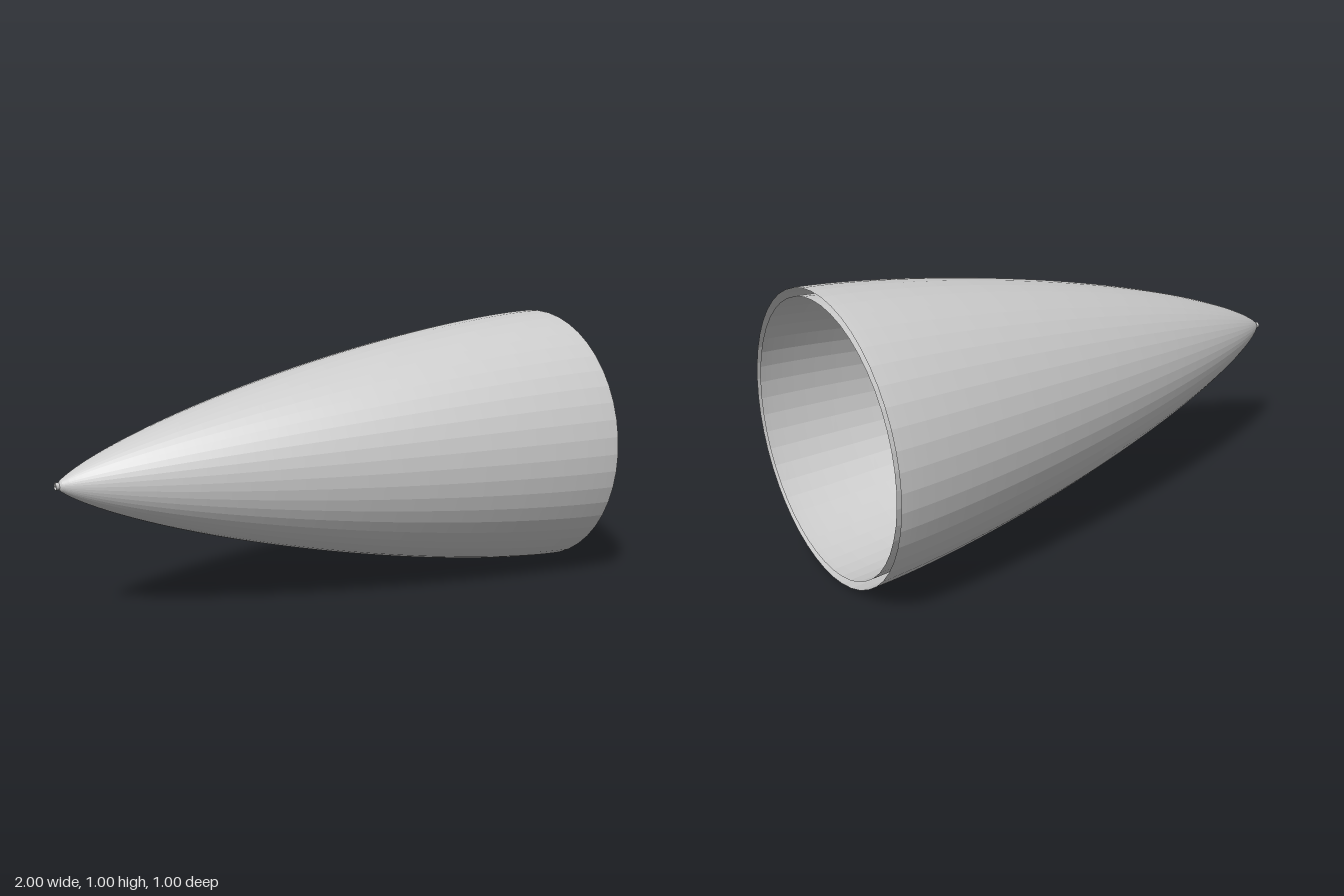
import * as THREE from 'three';

const LENGTH = 2, RADIUS = 0.5, WALL = 0.028, BORE = 0.013;
const STEPS = 100, SIDES = 48;

// Minimum-drag ogive: radius at fraction t from the tip (0) to the base (1)
function ogiveRadius(t) {
  const a = Math.acos(1 - 2 * t);
  return RADIUS * Math.sqrt(Math.max(0, a - Math.sin(2 * a) / 2) / Math.PI);
}

// Revolves a radius rule; t runs from one end of the cone to the other
function shell(name, radiusAt, fromTip) {
  const points = [];
  for (let i = 0; i <= STEPS; i++) {
    const t = fromTip ? i / STEPS : 1 - i / STEPS;
    points.push(new THREE.Vector2(radiusAt(t), LENGTH / 2 - t * LENGTH));
  }
  const geometry = new THREE.LatheGeometry(points, SIDES);
  geometry.rotateZ(Math.PI / 2); // tip towards -x
  geometry.translate(0, RADIUS, 0);
  const mesh = new THREE.Mesh(geometry, new THREE.MeshStandardMaterial({
    color: 0xcccccc, flatShading: true, side: THREE.DoubleSide,
  }));
  mesh.name = name;
  return mesh;
}

export function createModel() {
  const model = new THREE.Group();
  model.name = 'noseCone';
  // Outer skin, closed at the tip
  model.add(shell('outerSkin', ogiveRadius, false));
  // Inner skin, inset by the wall and narrowing to a thin bore; the base gap stays open
  model.add(shell('innerSkin', (t) => Math.max(ogiveRadius(t) - WALL, BORE), true));
  return model;
}
